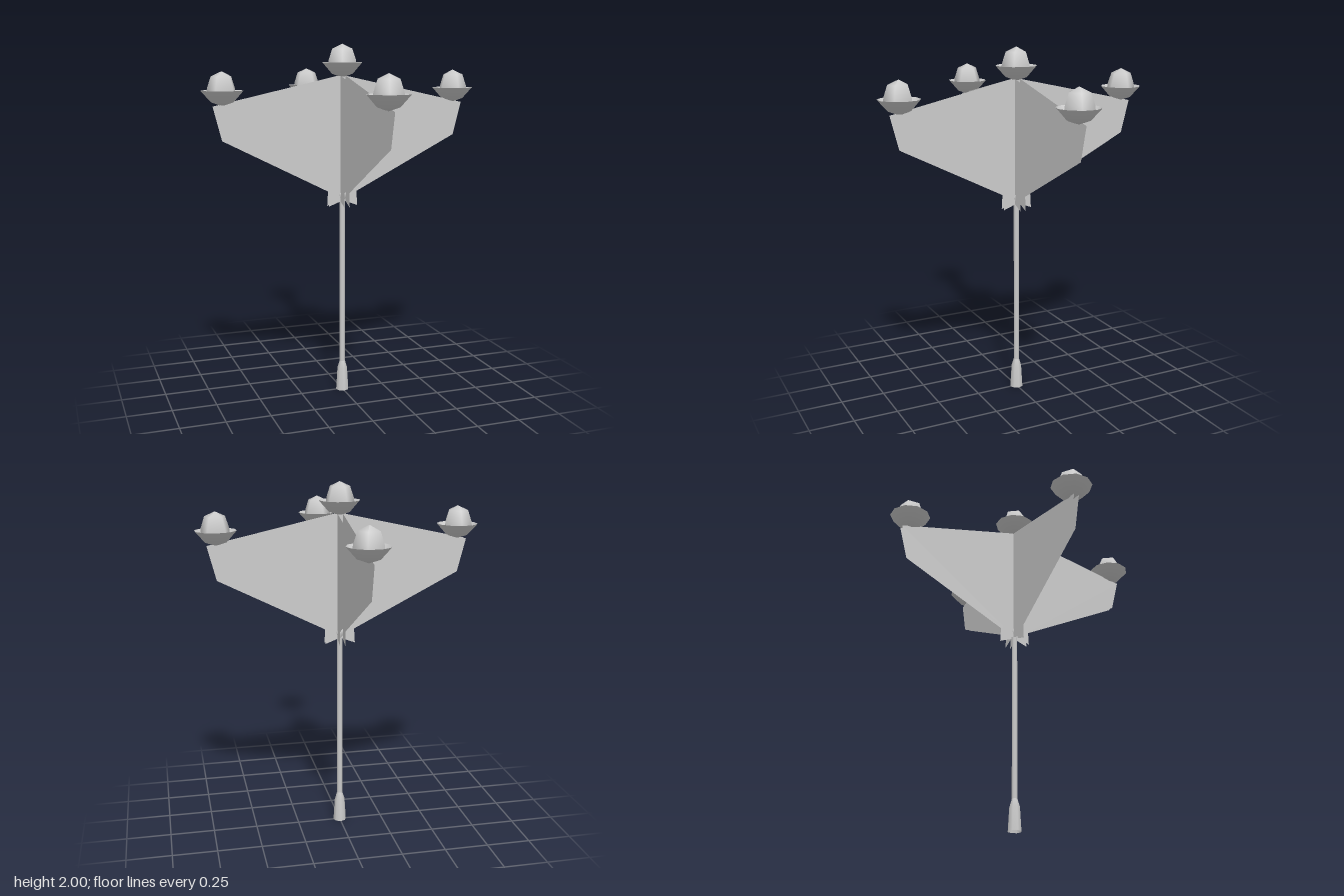
import * as THREE from 'three';

const grey = new THREE.MeshStandardMaterial({ color: 0xcccccc, side: THREE.DoubleSide });

// Smooth turned part from [radius, y] pairs, listed bottom to top
function turned(name, profile, sides, start = 0) {
  const points = profile.map(([r, y]) => new THREE.Vector2(r, y));
  const mesh = new THREE.Mesh(new THREE.LatheGeometry(points, sides, start), grey);
  mesh.name = name;
  return mesh;
}

// Lamp: open ten-sided bowl holding a five-sided globe; the rim is at y = 0
function createLamp(name) {
  const lamp = new THREE.Group();
  lamp.name = name;
  lamp.add(
    turned('lampBowl', [[0, -0.083], [0.06, -0.062], [0.115, 0]], 10, Math.PI / 2),
    turned('lampGlobe', [[0.083, -0.02], [0.079, 0.012], [0.058, 0.074], [0, 0.101]], 5, -Math.PI / 2)
  );
  return lamp;
}

// Symmetrical bracket outline with a notched tail
function createBracketGeometry() {
  const half = [[0.725, 1.67], [0.678, 1.484], [0.08, 1.18], [0.085, 1.098]];
  const mirrored = half.map(([x, y]) => [-x, y]).reverse();
  const outline = [[0, 1.83], ...half, [0, 1.13], ...mirrored];
  return new THREE.ShapeGeometry(new THREE.Shape(outline.map(([x, y]) => new THREE.Vector2(x, y))));
}

export function createModel() {
  const model = new THREE.Group();
  model.name = 'streetLamp';

  // Post with a flared foot and a small knob on top
  model.add(
    turned('foot', [[0.038, 0], [0.03, 0.13], [0.016, 0.175]], 8),
    turned('pole', [[0.016, 0.17], [0.016, 1.14]], 8),
    turned('knob', [[0.016, 1.13], [0.028, 1.16], [0.022, 1.18], [0, 1.19]], 8)
  );

  // Crossed brackets, each a pair of thin sheets; one lamp at each end
  const sheet = createBracketGeometry();
  for (let i = 0; i < 4; i++) {
    const arm = new THREE.Group();
    arm.name = 'arm';
    arm.rotation.y = (i * Math.PI) / 2;

    const bracket = new THREE.Mesh(sheet, grey);
    bracket.name = 'bracketSheet';
    bracket.position.z = 0.015;

    const lamp = createLamp('armLamp');
    lamp.position.set(0, 1.754, 0.675);
    arm.add(bracket, lamp);
    model.add(arm);
  }

  // Raised lamp in the middle
  const centre = createLamp('centreLamp');
  centre.position.y = 1.899;
  model.add(centre);

  return model;
}
